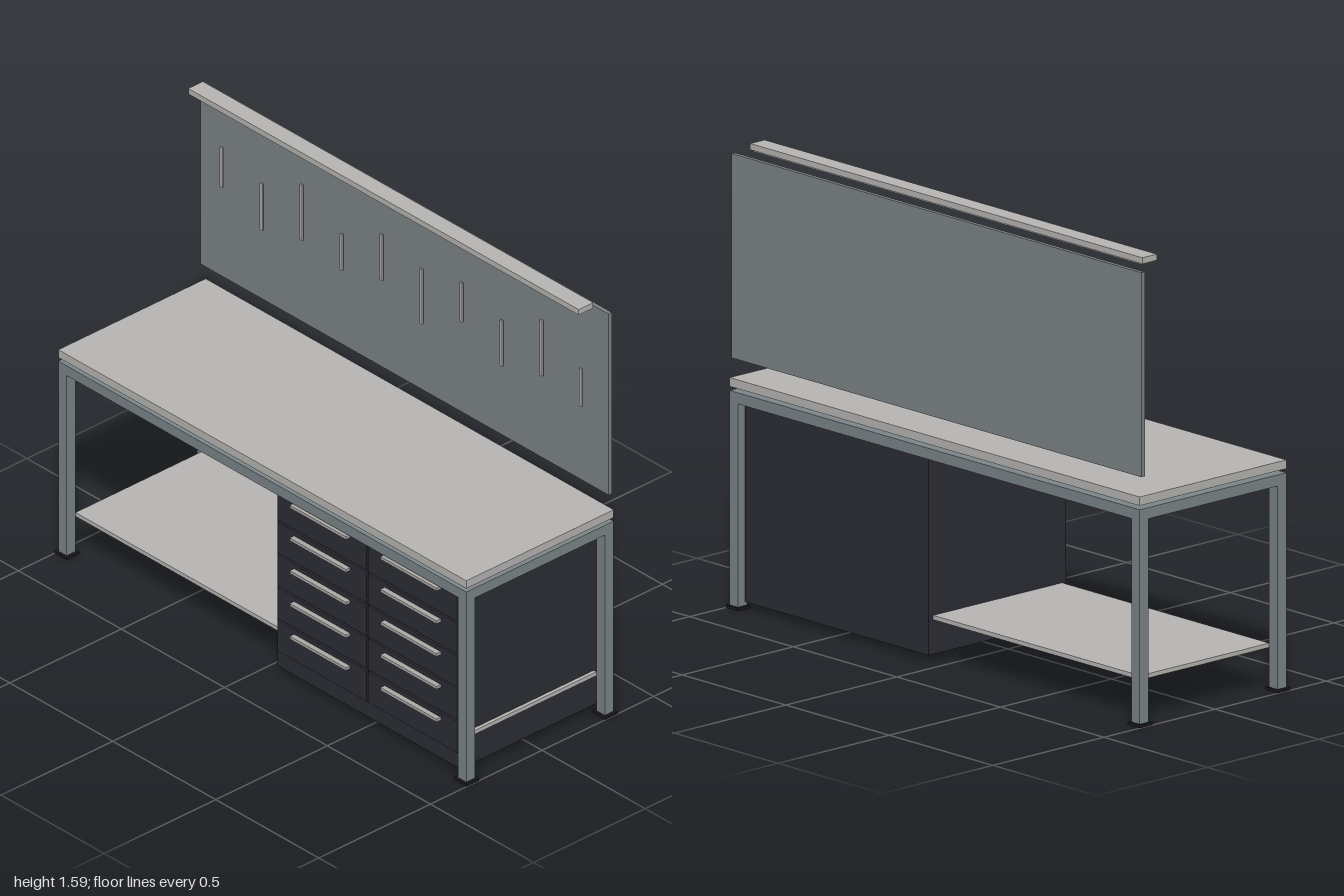
import * as THREE from 'three';

function material(name, color) {
  const m = new THREE.MeshStandardMaterial({ color });
  m.name = name;
  return m;
}

export function createModel() {
  const worktop = material('pale laminate', 0xb9b7b4);
  const steel = material('grey painted steel', 0x7c8689);
  const panel = material('panel grey', 0x7e8487);
  const cabinet = material('dark cabinet', 0x2d2d36);
  const rubber = material('black rubber', 0x1b1b1d);
  const metal = material('bare metal', 0xaeaca9);

  const model = new THREE.Group();
  model.name = 'workbench';

  // Box given by its minimum and maximum on each axis
  function box(name, mat, [x0, x1], [y0, y1], [z0, z1], parent = model) {
    const mesh = new THREE.Mesh(new THREE.BoxGeometry(x1 - x0, y1 - y0, z1 - z0), mat);
    mesh.position.set((x0 + x1) / 2, (y0 + y1) / 2, (z0 + z1) / 2);
    mesh.name = name;
    parent.add(mesh);
    return mesh;
  }
  const around = (c, size) => [c - size / 2, c + size / 2];

  // Worktop and lower shelf
  box('worktop', worktop, [-0.99, 0.99], [0.757, 0.787], [-0.33, 0.33]);
  box('lowerShelf', worktop, [-0.95, 0.95], [0.145, 0.16], [-0.29, 0.29]);

  // Frame: four legs with foot plates, joined by rails
  const frame = new THREE.Group();
  frame.name = 'frame';
  model.add(frame);
  const railY = [0.705, 0.743];
  for (const s of [-1, 1]) {
    for (const t of [-1, 1]) {
      box('leg', steel, around(s * 0.97, 0.04), [0.01, 0.743], around(t * 0.31, 0.04), frame);
      box('foot', rubber, around(s * 0.97, 0.06), [0, 0.01], around(t * 0.31, 0.056), frame);
    }
    box('longRail', steel, [-0.95, 0.95], railY, around(s * 0.31, 0.04), frame);
    box('sideRail', steel, around(s * 0.97, 0.04), railY, [-0.29, 0.29], frame);
  }

  // Drawer cabinet: two columns of five drawers
  const drawers = new THREE.Group();
  drawers.name = 'drawerCabinet';
  model.add(drawers);
  box('cabinetBody', cabinet, [0.05, 0.937], [0.027, 0.725], [-0.31, 0.308], drawers);
  for (const x of [0.277, 0.717]) {
    for (let row = 0; row < 5; row++) {
      const y = 0.092 + row * 0.1265;
      box('drawerFront', cabinet, around(x, 0.432), [y, y + 0.119], [0.308, 0.318], drawers);
      box('drawerHandle', metal, around(x, 0.272), around(y + 0.096, 0.011), [0.318, 0.337], drawers);
    }
  }

  // Tool panel with a row of slim hanging tools
  box('toolPanel', panel, [-0.99, 0.99], [0.853, 1.552], [-0.322, -0.307]);
  const tools = [
    [1.21, 1.363], [1.13, 1.31], [1.18, 1.393], [1.15, 1.29], [1.2, 1.377],
    [1.118, 1.33], [1.213, 1.364], [1.13, 1.307], [1.18, 1.395], [1.15, 1.294],
  ];
  tools.forEach((span, i) => {
    box('hangingTool', metal, around((i - 4.5) * 0.1939, 0.013), span, [-0.296, -0.29]);
  });

  // Overhead lamp bar with a narrower diffuser below
  box('lampBar', worktop, [-0.95, 0.945], [1.566, 1.587], [-0.28, -0.215]);
  box('lampDiffuser', worktop, [-0.94, 0.935], [1.56, 1.566], [-0.273, -0.222]);

  return model;
}
